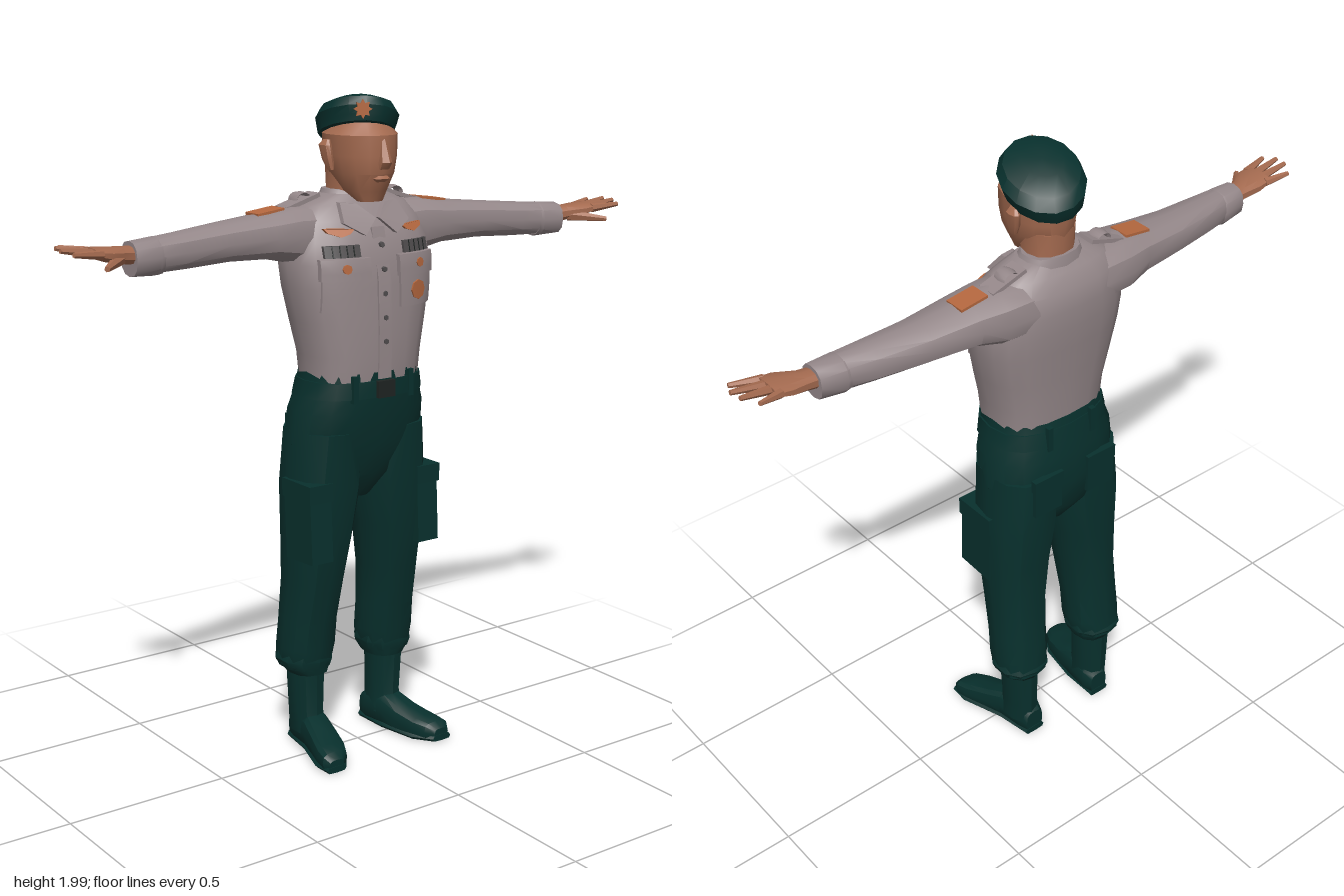
import * as THREE from 'three';
import { toCreasedNormals } from 'three/addons/utils/BufferGeometryUtils.js';

const paint = (name, color) => Object.assign(new THREE.MeshStandardMaterial({ color }), { name });

// Closed skin through sections [t, u, v, ru, rv] along an axis.
// (u, v) is (x, z) for axis y, (z, y) for axis x and (y, x) for axis z.
function loft(axis, sections, n = 12, e = 0.85) {
  const pos = [], idx = [];
  const put = (u, t, v) => pos.push(...(axis === 'y' ? [u, t, v] : axis === 'x' ? [t, v, u] : [v, u, t]));
  const soft = (c) => Math.sign(c) * Math.pow(Math.abs(c), e);
  for (const [t, u, v, ru, rv] of sections) {
    for (let j = 0; j < n; j++) {
      const a = (j / n) * Math.PI * 2;
      put(u + ru * soft(Math.sin(a)), t, v + rv * soft(Math.cos(a)));
    }
  }
  const last = sections.length - 1;
  for (const s of [sections[0], sections[last]]) put(s[1], s[0], s[2]);
  const low = (last + 1) * n;
  for (let j = 0; j < n; j++) {
    const k = (j + 1) % n;
    for (let i = 0; i < last; i++) {
      const a = i * n + j, b = i * n + k;
      idx.push(a, b, b + n, a, b + n, a + n);
    }
    idx.push(low, k, j, low + 1, last * n + j, last * n + k);
  }
  const g = new THREE.BufferGeometry();
  g.setAttribute('position', new THREE.Float32BufferAttribute(pos, 3));
  g.setIndex(idx);
  return g;
}

// Moves every vertex of a geometry by a rule
function bend(g, rule) {
  const p = g.attributes.position, v = new THREE.Vector3();
  for (let i = 0; i < p.count; i++) {
    rule(v.fromBufferAttribute(p, i));
    p.setXYZ(i, v.x, v.y, v.z);
  }
  return g;
}

// Mirrors across x and turns the triangles the right way round again
function mirrored(geo) {
  const g = geo.index ? geo.toNonIndexed() : geo.clone();
  g.scale(-1, 1, 1);
  const p = g.attributes.position, a = new THREE.Vector3(), b = new THREE.Vector3();
  for (let i = 0; i < p.count; i += 3) {
    a.fromBufferAttribute(p, i + 1);
    b.fromBufferAttribute(p, i + 2);
    p.setXYZ(i + 1, b.x, b.y, b.z);
    p.setXYZ(i + 2, a.x, a.y, a.z);
  }
  return g;
}

// Tapered rod between two points
function rod(p, q, r0, r1, flat = 1) {
  const a = new THREE.Vector3(...p), d = new THREE.Vector3(...q).sub(a);
  const g = new THREE.CylinderGeometry(r1, r0, d.length(), 6).translate(0, d.length() / 2, 0);
  g.applyQuaternion(new THREE.Quaternion().setFromUnitVectors(new THREE.Vector3(0, 1, 0), d.clone().normalize()));
  return g.scale(1, flat, 1).translate(...p);
}

const box = (w, h, d, x, y, z) => new THREE.BoxGeometry(w, h, d).translate(x, y, z);

// Shirt body sections: y, centre x, centre z, half width, half depth
const TORSO = [
  [1.17, 0, 0.003, 0.182, 0.128], [1.25, 0, 0.003, 0.19, 0.133], [1.35, 0, -0.003, 0.213, 0.137],
  [1.45, 0, -0.01, 0.234, 0.14], [1.52, 0, -0.016, 0.24, 0.141], [1.58, 0, -0.023, 0.232, 0.134],
  [1.64, 0, -0.033, 0.212, 0.117], [1.68, 0, -0.035, 0.175, 0.085], [1.71, 0, -0.03, 0.1, 0.062],
];

// Depth of the shirt front at a point
function chestZ(x, y) {
  let i = 0;
  while (i < TORSO.length - 2 && y > TORSO[i + 1][0]) i++;
  const a = TORSO[i], b = TORSO[i + 1], f = (y - a[0]) / (b[0] - a[0]);
  const [cz, rx, rz] = [2, 3, 4].map((k) => a[k] + (b[k] - a[k]) * f);
  return cz + rz * Math.pow(Math.max(0, 1 - Math.pow(Math.abs(x) / rx, 2 / 0.75)), 0.375);
}
const onChest = (g) => bend(g, (v) => { v.z += chestZ(v.x, v.y); });
const chestPlate = (w, h, d, x, y) => onChest(new THREE.BoxGeometry(w, h, d, 6, 3, 1).translate(x, y, 0));
const chestDisc = (r, d, x, y, n = 8) =>
  onChest(new THREE.CylinderGeometry(r, r, d, n).rotateX(Math.PI / 2).translate(x, y, 0.003));

export function createModel() {
  const model = new THREE.Group();
  const shirt = paint('shirt grey', 0x95888a), skin = paint('skin', 0xa56b50), green = paint('dark green', 0x08302d);
  const orange = paint('badge orange', 0xb5683f), dark = paint('ribbon grey', 0x4f4c4d), black = paint('buckle black', 0x1f2422);

  const add = (name, geo, mat) => {
    const mesh = new THREE.Mesh(toCreasedNormals(geo, 0.6), mat);
    mesh.name = name;
    model.add(mesh);
  };
  const pair = (name, geo, mat) => {
    add('left ' + name, geo, mat);
    add('right ' + name, mirrored(geo), mat);
  };

  // Head, neck and face
  add('head', loft('y', [
    [1.69, 0, 0.06, 0.04, 0.03], [1.72, 0, 0.032, 0.062, 0.07], [1.77, 0, 0.015, 0.085, 0.113],
    [1.82, 0, 0.012, 0.096, 0.12], [1.88, 0, 0.01, 0.1, 0.121], [1.92, 0, 0.01, 0.07, 0.08],
  ], 14, 0.95), skin);
  add('neck', loft('y', [[1.63, 0, -0.03, 0.08, 0.065], [1.72, 0, -0.03, 0.074, 0.066], [1.79, 0, -0.025, 0.078, 0.075]], 12), skin);
  add('nose', loft('y', [[1.785, 0, 0.125, 0.018, 0.012], [1.805, 0, 0.128, 0.02, 0.028], [1.87, 0, 0.122, 0.009, 0.01]], 6), skin);
  add('lips', loft('y', [[1.748, 0, 0.105, 0.02, 0.012], [1.758, 0, 0.115, 0.028, 0.018], [1.768, 0, 0.11, 0.02, 0.015]], 8), skin);
  pair('ear', loft('y', [[1.78, 0.095, 0, 0.008, 0.012], [1.81, 0.1, -0.007, 0.014, 0.02], [1.85, 0.106, -0.012, 0.014, 0.024], [1.865, 0.102, -0.01, 0.007, 0.014]], 8), skin);

  // Beret, tilted up at the front and drooping to one side
  add('beret', bend(loft('y', [
    [1.885, 0, -0.008, 0.103, 0.125], [1.905, 0.004, -0.01, 0.108, 0.13], [1.93, 0.007, -0.012, 0.115, 0.133],
    [1.957, 0.005, -0.01, 0.1, 0.115], [1.974, 0, -0.005, 0.055, 0.065],
  ], 14, 1), (v) => { v.y += 0.28 * v.z - 0.2 * v.x; }), green);
  const star = new THREE.Shape();
  for (let i = 0; i < 16; i++) {
    const r = i % 2 ? 0.017 : 0.027, a = (i * Math.PI) / 8;
    star[i ? 'lineTo' : 'moveTo'](r * Math.cos(a), r * Math.sin(a));
  }
  add('beret badge', new THREE.ExtrudeGeometry(star, { depth: 0.009, bevelEnabled: false }).rotateY(-0.4).translate(-0.056, 1.955, 0.101), orange);

  // Shirt body, sleeves and cuffs
  add('shirt body', loft('y', TORSO, 20, 0.75), shirt);
  pair('sleeve', loft('x', [
    [0.12, -0.045, 1.595, 0.1, 0.085], [0.22, -0.045, 1.6, 0.102, 0.083], [0.3, -0.036, 1.602, 0.09, 0.067],
    [0.45, -0.03, 1.597, 0.074, 0.057], [0.6, -0.01, 1.588, 0.06, 0.053], [0.7, 0.003, 1.584, 0.048, 0.05],
  ], 12), shirt);
  pair('cuff', loft('x', [[0.67, 0, 1.582, 0.05, 0.051], [0.685, 0, 1.582, 0.053, 0.054], [0.76, 0.008, 1.581, 0.046, 0.049]], 12), shirt);

  // Hands with spread fingers
  pair('palm', loft('x', [
    [0.74, 0.008, 1.59, 0.032, 0.027], [0.79, 0.012, 1.595, 0.036, 0.024],
    [0.84, 0.022, 1.602, 0.054, 0.021], [0.885, 0.024, 1.61, 0.052, 0.014],
  ], 10), skin);
  [[-0.018, 0.945, -0.04, 1.622], [0.01, 0.975, 0.004, 1.627], [0.037, 0.98, 0.044, 1.625], [0.063, 0.962, 0.085, 1.617]].forEach(
    ([z0, x1, z1, y1], i) => pair('finger ' + (i + 1), rod([0.87, 1.608, z0], [x1, y1, z1], 0.014, 0.007), skin));
  pair('thumb', rod([0.8, 1.588, 0.03], [0.885, 1.578, 0.118], 0.019, 0.008), skin);

  // Collar, placket and buttons
  add('collar band', loft('y', [[1.665, 0, -0.032, 0.115, 0.082], [1.7, 0, -0.034, 0.1, 0.075], [1.722, 0, -0.04, 0.087, 0.064]], 14), shirt);
  const lapel = new THREE.Shape([[0.006, 1.645], [0.055, 1.6], [0.115, 1.635], [0.1, 1.69], [0.05, 1.685]].map((p) => new THREE.Vector2(...p)));
  pair('collar wing', onChest(new THREE.ExtrudeGeometry(lapel, { depth: 0.018, bevelEnabled: false })), shirt);
  add('placket', chestPlate(0.045, 0.44, 0.012, 0, 1.4), shirt);
  for (let i = 0; i < 5; i++) add('button ' + (i + 1), chestDisc(0.008, 0.014, 0, 1.29 + i * 0.07, 6), dark);

  // Chest pockets, ribbons and insignia
  pair('chest pocket', chestPlate(0.135, 0.14, 0.016, 0.125, 1.455), shirt);
  pair('pocket flap', chestPlate(0.147, 0.062, 0.03, 0.125, 1.507), shirt);
  pair('ribbon bar', chestPlate(0.105, 0.034, 0.016, 0.13, 1.558), dark);
  for (let i = 1; i < 5; i++) pair('ribbon divider ' + i, chestPlate(0.003, 0.034, 0.019, 0.0775 + i * 0.021, 1.558), black);
  pair('pocket badge', chestDisc(0.014, 0.032, 0.13, 1.51), orange);
  add('medal', chestDisc(0.029, 0.02, 0.125, 1.43), orange);
  const wings = new THREE.Shape([[0.085, 1.618], [0.1, 1.606], [0.13, 1.598], [0.165, 1.61], [0.172, 1.622], [0.135, 1.622]].map((p) => new THREE.Vector2(...p)));
  pair('wing badge', onChest(new THREE.ExtrudeGeometry(wings, { depth: 0.012, bevelEnabled: false })), orange);

  // Shoulder straps and sleeve patches
  pair('shoulder strap', box(0.12, 0.012, 0.06, 0, 0, 0).rotateZ(-0.3).translate(0.175, 1.69, -0.052), shirt);
  pair('strap loop', new THREE.TorusGeometry(0.024, 0.006, 5, 8, Math.PI).scale(1, 0.8, 4).translate(0.165, 1.694, -0.055), shirt);
  pair('shoulder patch', box(0.09, 0.008, 0.066, 0, 0, 0).rotateZ(-0.13).translate(0.292, 1.67, -0.045), orange);

  // Trousers
  add('trouser seat', loft('y', [
    [0.8, 0, -0.03, 0.03, 0.06], [0.88, 0, -0.03, 0.15, 0.115], [0.98, 0, -0.025, 0.222, 0.133], [1.08, 0, -0.013, 0.215, 0.14],
    [1.14, 0, -0.005, 0.195, 0.136], [1.2, 0, 0.002, 0.185, 0.132],
  ], 16, 0.8), green);
  pair('trouser leg', loft('y', [
    [0.245, 0.145, -0.07, 0.06, 0.07], [0.275, 0.15, -0.077, 0.08, 0.084], [0.33, 0.148, -0.07, 0.087, 0.086],
    [0.42, 0.146, -0.06, 0.084, 0.09], [0.55, 0.14, -0.042, 0.087, 0.101], [0.7, 0.132, -0.03, 0.1, 0.115],
    [0.85, 0.12, -0.028, 0.113, 0.127], [1.02, 0.11, -0.022, 0.108, 0.13],
  ], 12, 0.85), green);
  pair('trouser blouse fold', loft('y', [[0.265, 0.15, -0.074, 0.076, 0.08], [0.29, 0.15, -0.076, 0.087, 0.088], [0.32, 0.148, -0.07, 0.08, 0.08]], 10), green);

  // Cargo and hip pockets
  pair('cargo pocket', box(0.075, 0.22, 0.135, 0, 0, 0).rotateX(-0.05).translate(0.197, 0.745, 0.025), green);
  pair('cargo flap', box(0.084, 0.055, 0.145, 0.198, 0.85, 0.022), green);
  pair('back pocket', box(0.1, 0.12, 0.014, 0.1, 0.97, -0.152), green);
  pair('back pocket flap', box(0.106, 0.04, 0.02, 0.1, 1.02, -0.153), green);

  // Belt, loops and buckle
  add('belt', loft('y', [[1.125, 0, -0.004, 0.203, 0.142], [1.175, 0, 0, 0.194, 0.137]], 16, 0.8), green);
  add('buckle', box(0.06, 0.05, 0.02, 0, 1.15, 0.137), black);
  pair('front belt loop', box(0.018, 0.08, 0.016, 0.1, 1.155, 0.124), green);
  pair('back belt loop', box(0.018, 0.08, 0.016, 0.08, 1.155, -0.136), green);

  // Boots, toes turned slightly out
  pair('boot shaft', loft('y', [[0.05, 0.145, -0.065, 0.048, 0.066], [0.12, 0.147, -0.072, 0.048, 0.06], [0.29, 0.15, -0.07, 0.056, 0.064]], 10), green);
  pair('boot foot', loft('z', [
    [-0.135, 0.045, 0.137, 0.04, 0.032], [-0.1, 0.055, 0.138, 0.052, 0.044], [-0.02, 0.058, 0.147, 0.055, 0.046],
    [0.04, 0.046, 0.16, 0.043, 0.05], [0.11, 0.036, 0.18, 0.033, 0.053], [0.15, 0.032, 0.193, 0.028, 0.045], [0.17, 0.026, 0.2, 0.016, 0.026],
  ], 12, 0.65), green);
  pair('boot sole', loft('z', [[-0.137, 0.011, 0.137, 0.011, 0.036], [-0.02, 0.011, 0.147, 0.011, 0.046], [0.11, 0.011, 0.18, 0.011, 0.057], [0.172, 0.012, 0.2, 0.01, 0.034]], 8, 0.5), green);
  return model;
}
